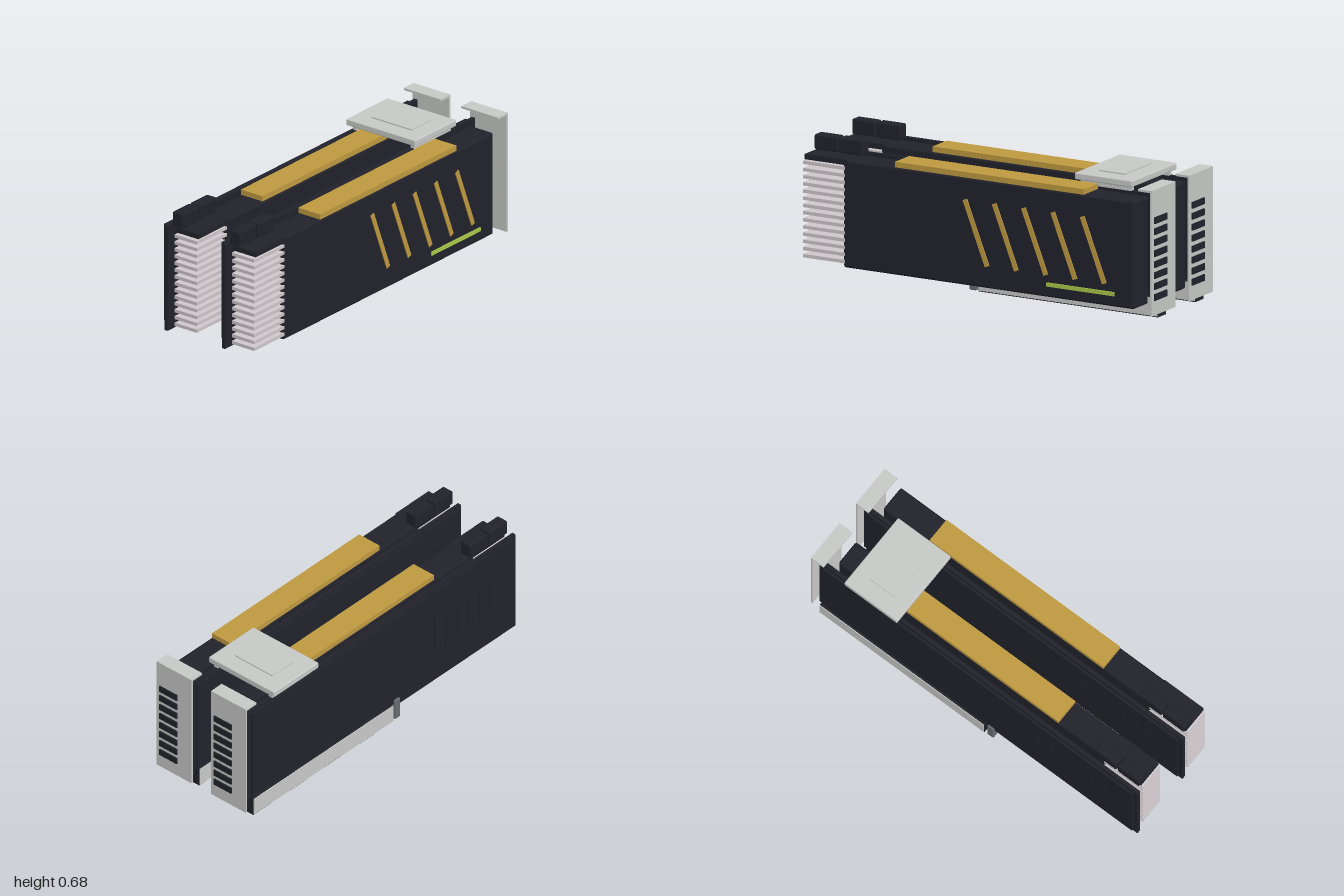
import * as THREE from 'three';
import { RoundedBoxGeometry } from 'three/addons/geometries/RoundedBoxGeometry.js';

const mat = (name, color) => {
  const m = new THREE.MeshStandardMaterial({ color });
  m.name = name;
  return m;
};

export function createModel() {
  const black = mat('charcoal', 0x22222c);
  const silver = mat('silver', 0xc8cac8);
  const fin = mat('finMetal', 0xcfc8cc);
  const gold = mat('gold', 0xbf9a40);
  const green = mat('lime', 0xa9c848);
  const grey = mat('latchGrey', 0x676c70);

  // Box given by its min and max on each axis; r > 0 rounds the edges
  function box(parent, name, material, [x0, x1], [y0, y1], [z0, z1], r = 0) {
    const size = [x1 - x0, y1 - y0, z1 - z0];
    const geo = r ? new RoundedBoxGeometry(...size, 2, r) : new THREE.BoxGeometry(...size);
    const mesh = new THREE.Mesh(geo, material);
    mesh.name = name;
    mesh.position.set((x0 + x1) / 2, (y0 + y1) / 2, (z0 + z1) / 2);
    parent.add(mesh);
    return mesh;
  }

  function createCard() {
    const card = new THREE.Group();
    card.name = 'expansionCard';
    const shroudX = [-0.208, -0.068];

    // Circuit board and backplate with raised vent ribs
    box(card, 'circuitBoard', black, [-0.262, -0.242], [0.054, 0.61], [-0.96, 1]);
    box(card, 'backplate', black, [-0.28, -0.268], [0.096, 0.605], [-0.93, 0.98]);
    for (let i = 0; i < 6; i++) {
      const z = 0.39 + i * 0.082;
      box(card, 'backplateRib', black, [-0.284, -0.279], [0.245, 0.457], [z, z + 0.02]);
    }

    // Cooler shroud and the cap over the open fins
    box(card, 'shroud', black, shroudX, [0.065, 0.605], [-0.885, 0.76], 0.012);
    box(card, 'finCap', black, shroudX, [0.58, 0.606], [0.74, 0.98]);

    // Heat sink fins
    for (let i = 0; i < 14; i++) {
      const y = 0.095 + i * 0.036;
      box(card, 'fin', fin, [-0.207, -0.069], [y - 0.0085, y + 0.0085], [0.74, 0.99]);
    }

    // Top trim
    box(card, 'topTrim', gold, [-0.207, -0.073], [0.604, 0.632], [-0.6, 0.47]);

    // Slanted stripes and light strip on the shroud side
    for (let i = 0; i < 5; i++) {
      const zTop = 0.07 - i * 0.166, zBottom = zTop - 0.126;
      const stripe = box(card, 'sideStripe', gold, [-0.069, -0.063], [0.17, 0.502], [zBottom, zTop]);
      stripe.geometry = new THREE.BoxGeometry(0.006, 0.345, 0.026);
      stripe.rotation.x = Math.atan2(0.126, 0.32);
    }
    box(card, 'lightStrip', green, [-0.069, -0.061], [0.12, 0.14], [-0.777, -0.393]);

    // Power sockets
    for (const z of [0.71, 0.85]) {
      box(card, 'powerSocket', black, [-0.228, -0.163], [0.609, 0.685], [z, z + 0.132], 0.008);
    }

    // Rear bracket with lip and vents
    box(card, 'bracket', silver, [-0.29, -0.062], [0.046, 0.675], [-0.99, -0.98]);
    box(card, 'bracketLip', silver, [-0.29, -0.062], [0.664, 0.675], [-0.985, -0.912]);
    for (let i = 0; i < 8; i++) {
      const y = 0.137 + i * 0.055;
      box(card, 'bracketVent', black, [-0.2, -0.084], [y - 0.016, y + 0.016], [-0.998, -0.989]);
    }

    // Edge connector slot with metal side plates and latch
    box(card, 'slot', black, [-0.29, -0.213], [0.002, 0.1], [-0.935, 0.08]);
    box(card, 'slotPlate', silver, [-0.294, -0.289], [0.007, 0.099], [-0.933, 0.078]);
    box(card, 'slotPlate', silver, [-0.214, -0.209], [0.007, 0.099], [-0.933, 0.078]);
    box(card, 'slotLatch', grey, [-0.29, -0.214], [0.003, 0.117], [0.095, 0.134], 0.006);
    return card;
  }

  const model = new THREE.Group();
  model.name = 'twinCards';
  for (const x of [0, 0.356]) {
    const card = createCard();
    card.position.x = x;
    model.add(card);
    // Bridge connector standing on each board
    box(model, 'bridgeFoot', silver, [x - 0.263, x - 0.241], [0.608, 0.636], [-0.77, -0.48]);
  }

  // Bridge joining the two cards
  box(model, 'bridge', silver, [-0.29, 0.138], [0.632, 0.666], [-0.785, -0.46], 0.006);
  box(model, 'bridgePanel', silver, [-0.2, 0.05], [0.664, 0.672], [-0.695, -0.545]);
  return model;
}
